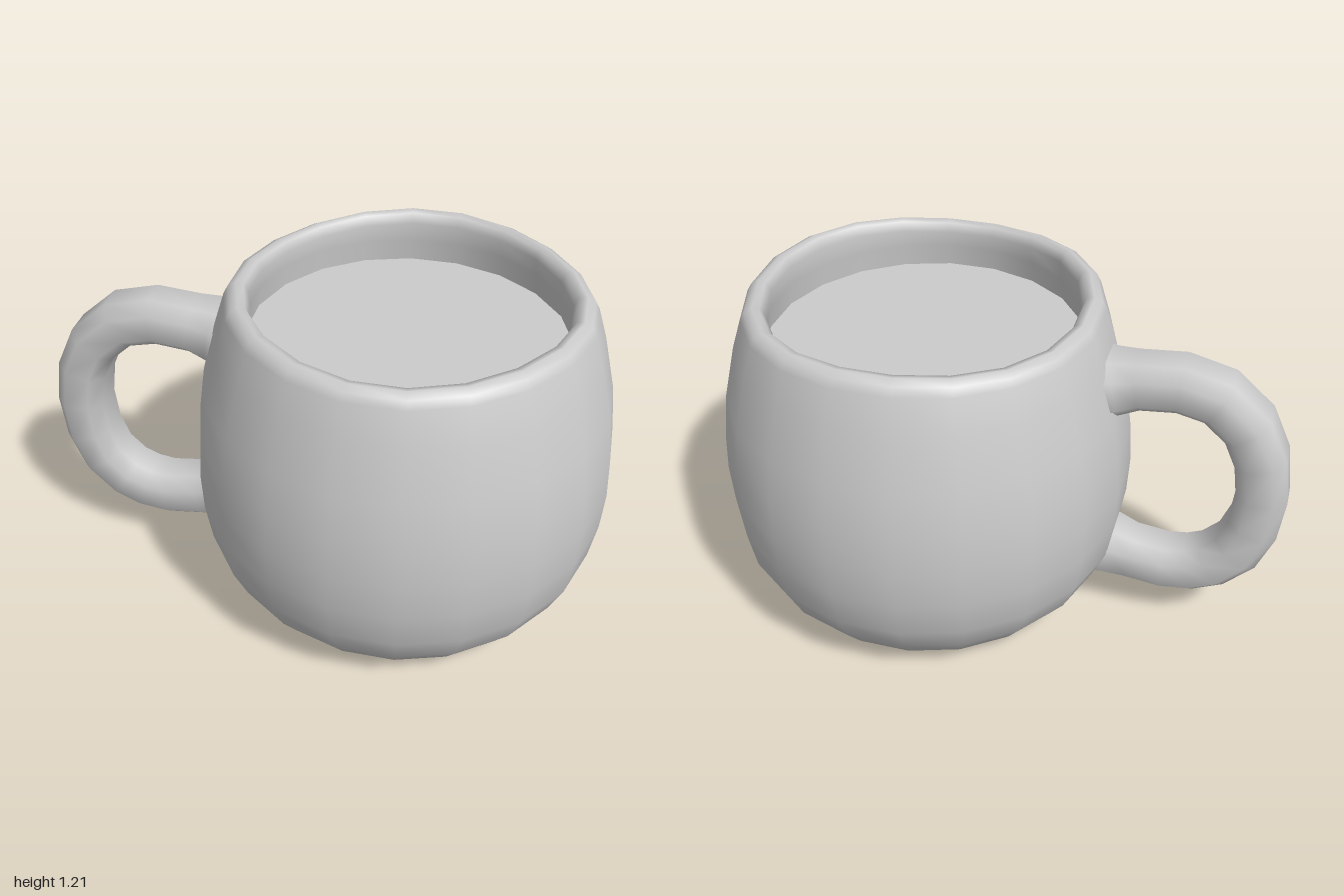
import * as THREE from 'three';

const SIDES = 20;
const CUP_X = 0.28;
const FACET = 1 / Math.cos(Math.PI / SIDES); // flat-to-corner radius

const material = () => new THREE.MeshStandardMaterial({ color: 0xcccccc });

// Rounded cup: base, belly, rolled rim and inner wall in one profile
function makeCup() {
  const profile = [
    [0, 0], [0.4, 0], [0.44, 0.005], [0.51, 0.03], [0.57, 0.08], [0.64, 0.17],
    [0.69, 0.28], [0.713, 0.42], [0.72, 0.56], [0.712, 0.7], [0.69, 0.86],
    [0.642, 1.05], [0.607, 1.16], [0.592, 1.188], [0.565, 1.203], [0.54, 1.197],
    [0.525, 1.165], [0.533, 1.1], [0.545, 0.98],
  ].map(([r, y]) => new THREE.Vector2(r * FACET, y));
  const geo = new THREE.LatheGeometry(profile, SIDES, Math.PI / SIDES);

  // Gentle hand-made wave along the rim
  const p = geo.attributes.position;
  for (let i = 0; i < p.count; i++) {
    const lift = THREE.MathUtils.smoothstep(p.getY(i), 1.1, 1.19);
    const angle = Math.atan2(p.getX(i), p.getZ(i));
    p.setY(i, p.getY(i) - 0.01 * lift * Math.cos(3 * angle));
  }
  const cup = new THREE.Mesh(geo, material());
  cup.name = 'cup';
  cup.position.x = CUP_X;
  return cup;
}

// Drink surface just below the rim
function makeDrink() {
  const geo = new THREE.CircleGeometry(0.545 * FACET, SIDES, Math.PI / SIDES);
  const drink = new THREE.Mesh(geo.rotateX(-Math.PI / 2), material());
  drink.name = 'drink';
  drink.position.set(CUP_X, 1.02, 0);
  return drink;
}

// Loop handle: eight-sided section swept along a curve, flared at both ends
function makeHandle() {
  // x, y, section scale
  const path = [
    [-0.32, 0.945, 1.35], [-0.4, 0.957, 1.13], [-0.47, 0.972, 1], [-0.61, 0.985, 1],
    [-0.74, 0.953, 1], [-0.845, 0.86, 1], [-0.9, 0.74, 1], [-0.92, 0.6, 1],
    [-0.905, 0.46, 1], [-0.86, 0.345, 1], [-0.78, 0.265, 1], [-0.7, 0.23, 1],
    [-0.61, 0.218, 1], [-0.48, 0.235, 1], [-0.4, 0.255, 1.13], [-0.31, 0.272, 1.35],
  ];
  // Offsets along the outward normal and along z
  const section = [
    [0.087, -0.055], [0.087, 0.055], [0.045, 0.102], [-0.045, 0.102],
    [-0.087, 0.055], [-0.087, -0.055], [-0.045, -0.102], [0.045, -0.102],
  ];
  const n = section.length;
  const positions = [];
  const index = [];
  path.forEach(([x, y, s], i) => {
    const a = path[Math.max(i - 1, 0)];
    const b = path[Math.min(i + 1, path.length - 1)];
    const t = new THREE.Vector2(b[0] - a[0], b[1] - a[1]).normalize();
    for (const [out, z] of section) {
      positions.push(x + t.y * out * s, y - t.x * out * s, z * s);
    }
    if (i === 0) return;
    for (let j = 0; j < n; j++) {
      const k = (j + 1) % n;
      const p = (i - 1) * n;
      const q = i * n;
      index.push(p + j, q + j, p + k, q + j, q + k, p + k);
    }
  });
  const geo = new THREE.BufferGeometry();
  geo.setAttribute('position', new THREE.Float32BufferAttribute(positions, 3));
  geo.setIndex(index);
  geo.computeVertexNormals();
  const handle = new THREE.Mesh(geo, material());
  handle.name = 'handle';
  return handle;
}

export function createModel() {
  const mug = new THREE.Group();
  mug.name = 'mug';
  mug.add(makeCup(), makeDrink(), makeHandle());
  return mug;
}
